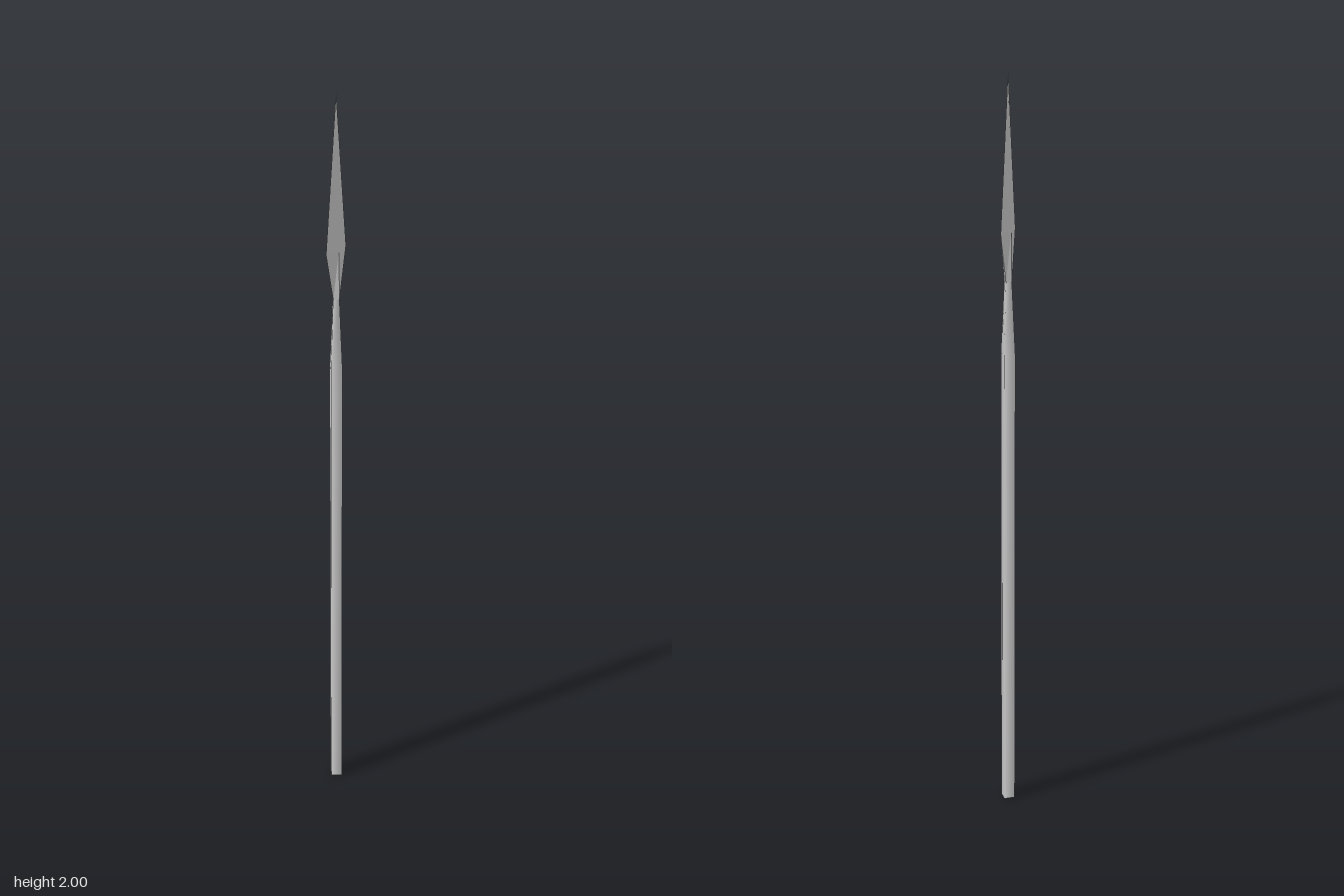
import * as THREE from 'three';

const smooth = new THREE.MeshStandardMaterial({ color: 0xcccccc });
const faceted = new THREE.MeshStandardMaterial({ color: 0xcccccc, flatShading: true });

// Four-sided diamond section between two heights; a and b are [half x, half z] at bottom and top.
function section(name, y0, y1, a, b, material, capped = false) {
  const geometry = new THREE.CylinderGeometry(1, 1, 1, 4, 1, !capped);
  const p = geometry.attributes.position;
  for (let i = 0; i < p.count; i++) {
    const t = p.getY(i) + 0.5;
    p.setXYZ(
      i,
      p.getX(i) * THREE.MathUtils.lerp(a[0], b[0], t),
      THREE.MathUtils.lerp(y0, y1, t),
      p.getZ(i) * THREE.MathUtils.lerp(a[1], b[1], t)
    );
  }
  const mesh = new THREE.Mesh(geometry, material);
  mesh.name = name;
  return mesh;
}

export function createModel() {
  const spear = new THREE.Group();
  spear.name = 'spear';

  const full = [0.021, 0.02];
  const neck = [0.011, 0.011];
  const shoulder = [0.009, 0.038];

  // Long pole, then the socket narrowing towards the head
  spear.add(section('shaft', 0, 1.28, full, full, smooth, true));
  spear.add(section('socket', 1.28, 1.47, full, neck, smooth));

  // Leaf-shaped head: short flare, then a long taper to the point
  const head = new THREE.Group();
  head.name = 'spearhead';
  head.add(section('bladeBase', 1.47, 1.6, neck, shoulder, faceted));
  head.add(section('bladeTip', 1.6, 2, shoulder, [0.0003, 0.0003], faceted));
  spear.add(head);

  return spear;
}
